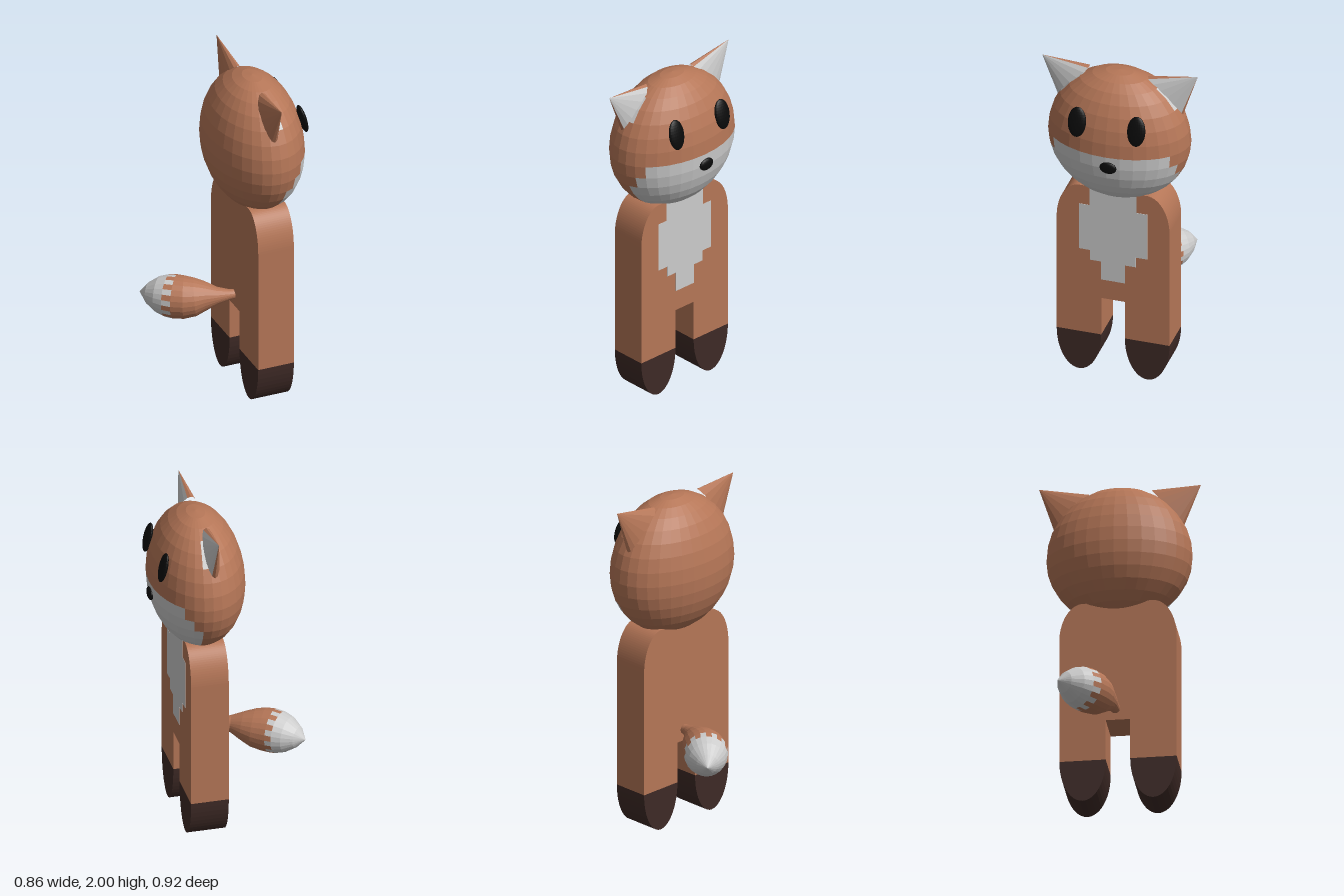
import * as THREE from 'three';

const mat = (color) => new THREE.MeshStandardMaterial({ color, flatShading: true });
const FUR = mat(0xb57657), WHITE = mat(0xcccccc), BROWN = mat(0x3e2a26), BLACK = mat(0x0a0a0a);
const V = (x, y, z) => new THREE.Vector3(x, y, z);

// Faceted skin over rings of points; isWhite(row, column, centre) picks the facet colour
function skin(name, rings, isWhite) {
  const group = new THREE.Group();
  group.name = name;
  const fur = [], white = [];
  for (let i = 0; i < rings.length - 1; i++) {
    const n = rings[i].length;
    for (let j = 0; j < n; j++) {
      const k = (j + 1) % n;
      const [a, b, c, d] = [rings[i][j], rings[i][k], rings[i + 1][k], rings[i + 1][j]];
      const centre = V(0, 0, 0).add(a).add(b).add(c).add(d).multiplyScalar(0.25);
      (isWhite(i, j, centre) ? white : fur).push(a, b, c, a, c, d);
    }
  }
  for (const [label, points, material] of [['Fur', fur, FUR], ['White', white, WHITE]]) {
    const geometry = new THREE.BufferGeometry().setFromPoints(points);
    geometry.computeVertexNormals();
    const mesh = new THREE.Mesh(geometry, material);
    mesh.name = name + label;
    group.add(mesh);
  }
  return group;
}

// Elliptical rings along a path; stops are [centre, radius sideways, radius upwards]
function sweep(stops, sides) {
  return stops.map(([c, rs, ru], i) => {
    const d = stops[Math.min(i + 1, stops.length - 1)][0].clone()
      .sub(stops[Math.max(i - 1, 0)][0]).normalize();
    const s = d.clone().cross(V(0, 1, 0)).normalize();
    const u = s.clone().cross(d);
    return Array.from({ length: sides }, (_, j) => {
      const t = (j / sides) * Math.PI * 2;
      return c.clone().addScaledVector(s, rs * Math.cos(t)).addScaledVector(u, -ru * Math.sin(t));
    });
  });
}

// Flat outline (drawn across z and y) given thickness along x
function slab(name, shape, x, depth, material) {
  const geometry = new THREE.ExtrudeGeometry(shape, { depth, bevelEnabled: false, curveSegments: 12 });
  geometry.rotateY(Math.PI / 2).translate(x, 0, 0);
  const mesh = new THREE.Mesh(geometry, material);
  mesh.name = name;
  return mesh;
}

function ball(name, position, radii, tilt = 0) {
  const mesh = new THREE.Mesh(new THREE.SphereGeometry(1, 24, 16), BLACK);
  mesh.name = name;
  mesh.position.set(...position);
  mesh.scale.set(...radii);
  mesh.rotation.z = tilt;
  return mesh;
}

export function createModel() {
  const model = new THREE.Group();

  // Body with rounded shoulders and two legs
  const body = new THREE.Shape();
  body.moveTo(-0.335, 0.25);
  body.lineTo(-0.07, 0.25);
  body.lineTo(-0.07, 0.495);
  body.lineTo(0.07, 0.495);
  body.lineTo(0.07, 0.25);
  body.lineTo(0.335, 0.25);
  body.lineTo(0.335, 1.0);
  body.absellipse(0.2, 1.0, 0.135, 0.23, 0, Math.PI / 2, false, 0);
  body.absellipse(-0.2, 1.0, 0.135, 0.23, Math.PI / 2, Math.PI, false, 0);
  body.closePath();
  model.add(slab('body', body, 0.03, 0.22, FUR));

  // Rounded feet
  for (const [side, z] of [['left', -0.2025], ['right', 0.2025]]) {
    const foot = new THREE.Shape();
    foot.absellipse(z, 0.25, 0.1325, 0.25, Math.PI, Math.PI * 2, false, 0);
    foot.closePath();
    model.add(slab(side + 'Foot', foot, 0.03, 0.22, BROWN));
  }

  // Stepped chest patch
  const half = [[0.07, 0.62], [0.07, 0.74], [0.135, 0.74], [0.135, 0.805], [0.203, 0.805],
    [0.203, 1.105], [0.14, 1.105], [0.14, 1.22]];
  const outline = [...half, ...half.map(([z, y]) => [-z, y]).reverse()];
  const chest = new THREE.Shape(outline.map(([z, y]) => new THREE.Vector2(z, y)));
  model.add(slab('chestPatch', chest, 0.249, 0.003, WHITE));

  // Head: ellipsoid with a stepped white muzzle and a pale facet below each ear
  const headRings = [];
  for (let i = 0; i <= 16; i++) {
    const lat = (i / 16 - 0.5) * Math.PI;
    const r = Math.cos(lat), y = 1.548 + Math.sin(lat) * (i > 8 ? 0.43 : 0.393);
    headRings.push(Array.from({ length: 32 }, (_, j) => {
      const t = (j / 32) * Math.PI * 2;
      return V(0.14 + 0.272 * r * Math.cos(t), y, -0.005 - 0.417 * r * Math.sin(t));
    }));
  }
  model.add(skin('head', headRings, (i, j) => {
    const k = Math.min(j, 31 - j);
    if (i <= 7) return k < Math.min(7, 12 - i);
    return (i === 11 || i === 12) && k === 7;
  }));

  // Ears, eyes
  for (const [side, s, tipY] of [['left', 1, 1.975], ['right', -1, 2.0]]) {
    const ear = sweep([[V(0.12, 1.833, s * 0.268), 0.048, 0.155], [V(0.12, tipY, s * 0.462), 0, 0]], 16);
    model.add(skin(side + 'Ear', ear, (i, j, p) => p.x > 0.131));
    model.add(ball(side + 'Eye', [0.372, 1.73, s * 0.176], [0.02, 0.09, 0.054], 0.24));
  }
  model.add(ball('nose', [0.41, 1.48, -0.02], [0.017, 0.037, 0.05]));

  // Bushy bent tail with a white tip and a dashed border
  const tail = [
    [0.06, 0.565, -0.01, 0.025], [0.0, 0.565, -0.02, 0.032], [-0.06, 0.564, -0.035, 0.05],
    [-0.12, 0.56, -0.065, 0.083], [-0.175, 0.553, -0.09, 0.11], [-0.23, 0.55, -0.115, 0.123],
    [-0.275, 0.55, -0.145, 0.126], [-0.31, 0.55, -0.175, 0.122], [-0.35, 0.549, -0.21, 0.104],
    [-0.395, 0.547, -0.25, 0.062], [-0.432, 0.545, -0.286, 0]
  ].map(([x, y, z, r]) => [V(x, y, z), r, r]);
  model.add(skin('tail', sweep(tail, 24), (i, j) => i > 6 || (i === 6 && j % 2 === 0)));

  return model;
}
